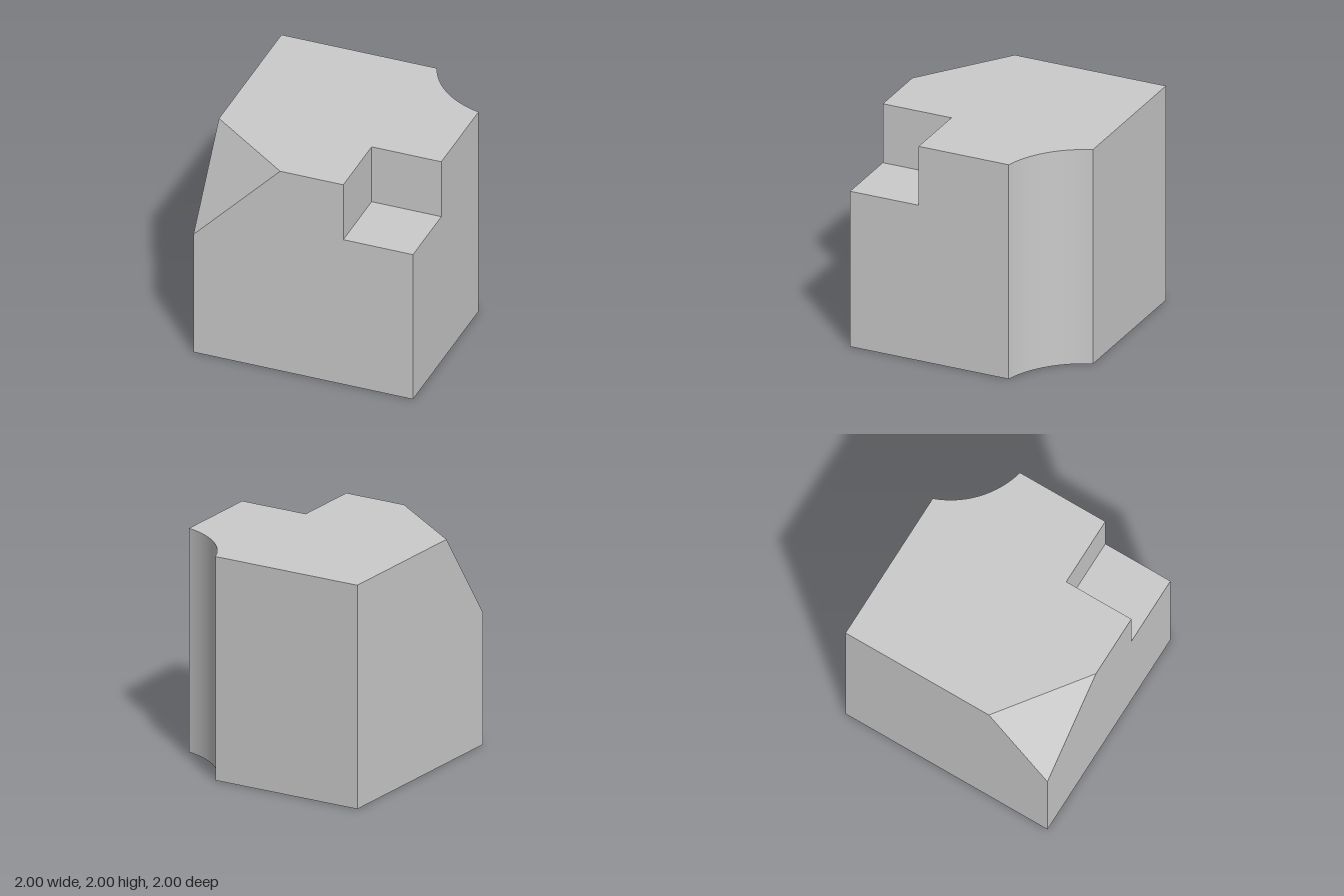
import * as THREE from 'three';

const SIDE = 0.365, BACK = 0.355, FLOOR = 1.45;   // corner notch
const CUT_X = -0.21, CUT_Y = 1.18, CUT_Z = 0.42;  // slanted corner cut
const CX = 1.185, CZ = -1.29, R = 0.82;           // round groove axis and radius

// Flat polygon from 3D corners, counter-clockwise seen from outside
function faceGeometry(corners) {
  const pts = corners.map((c) => new THREE.Vector3(...c));
  const normal = new THREE.Vector3();
  pts.forEach((p, i) => normal.add(p.clone().cross(pts[(i + 1) % pts.length])));
  normal.normalize();
  const u = pts[1].clone().sub(pts[0]).normalize();
  const v = normal.clone().cross(u);
  const flat = pts.map((p) => new THREE.Vector2(p.dot(u), p.dot(v)));
  const geo = new THREE.BufferGeometry().setFromPoints(pts);
  geo.setIndex(THREE.ShapeUtils.triangulateShape(flat, []).flat());
  geo.setAttribute('normal', new THREE.Float32BufferAttribute(pts.flatMap(() => normal.toArray()), 3));
  return geo;
}

// Groove outline in plan, from the right side round to the back
function grooveArc(steps = 32) {
  const a0 = Math.atan2(Math.sqrt(R * R - (1 - CX) ** 2), 1 - CX);
  const a1 = Math.atan2(-1 - CZ, -Math.sqrt(R * R - (-1 - CZ) ** 2));
  return Array.from({ length: steps + 1 }, (_, i) => {
    const a = a0 + (a1 - a0) * i / steps;
    return [CX + R * Math.cos(a), CZ + R * Math.sin(a)];
  });
}

// Smooth concave wall following the groove outline
function grooveGeometry(arc) {
  const pos = [], nor = [], idx = [];
  arc.forEach(([x, z], i) => {
    pos.push(x, 0, z, x, 2, z);
    for (let k = 0; k < 2; k++) nor.push((CX - x) / R, 0, (CZ - z) / R);
    const j = i * 2;
    if (i < arc.length - 1) idx.push(j, j + 2, j + 3, j, j + 3, j + 1);
  });
  const geo = new THREE.BufferGeometry();
  geo.setAttribute('position', new THREE.Float32BufferAttribute(pos, 3));
  geo.setAttribute('normal', new THREE.Float32BufferAttribute(nor, 3));
  geo.setIndex(idx);
  return geo;
}

export function createModel() {
  const group = new THREE.Group();
  group.name = 'cutBlock';
  const material = new THREE.MeshStandardMaterial({ color: 0xcccccc });
  const add = (name, geo) => {
    const mesh = new THREE.Mesh(geo, material);
    mesh.name = name;
    group.add(mesh);
  };

  const arc = grooveArc();
  const [gx] = arc[arc.length - 1];
  const gz = arc[0][1];
  const atX = (x, list) => list.map(([z, y]) => [x, y, z]);
  const atY = (y, list) => list.map(([x, z]) => [x, y, z]);
  const atZ = (z, list) => list.map(([x, y]) => [x, y, z]);

  const faces = {
    // Outer sides of the block
    frontFace: atZ(1, [[-1, 0], [1, 0], [1, FLOOR], [SIDE, FLOOR], [SIDE, 2], [CUT_X, 2], [-1, CUT_Y]]),
    backFace: atZ(-1, [[gx, 0], [-1, 0], [-1, 2], [gx, 2]]),
    leftFace: atX(1, [[1, 0], [gz, 0], [gz, 2], [BACK, 2], [BACK, FLOOR], [1, FLOOR]]),
    rightFace: atX(-1, [[-1, 0], [1, 0], [1, CUT_Y], [CUT_Z, 2], [-1, 2]]),
    topFace: atY(2, [[CUT_X, 1], [SIDE, 1], [SIDE, BACK], [1, BACK], ...arc, [-1, -1], [-1, CUT_Z]]),
    bottomFace: atY(0, [[-1, 1], [1, 1], ...arc, [-1, -1]].reverse()),
    // Square notch in the upper front corner
    notchFloor: atY(FLOOR, [[SIDE, 1], [1, 1], [1, BACK], [SIDE, BACK]]),
    notchBack: atZ(BACK, [[SIDE, FLOOR], [1, FLOOR], [1, 2], [SIDE, 2]]),
    notchSide: atX(SIDE, [[1, FLOOR], [BACK, FLOOR], [BACK, 2], [1, 2]]),
    // Slanted triangular corner
    cornerCut: [[-1, CUT_Y, 1], [CUT_X, 2, 1], [-1, 2, CUT_Z]],
  };
  for (const [name, corners] of Object.entries(faces)) add(name, faceGeometry(corners));
  add('roundGroove', grooveGeometry(arc));
  return group;
}
